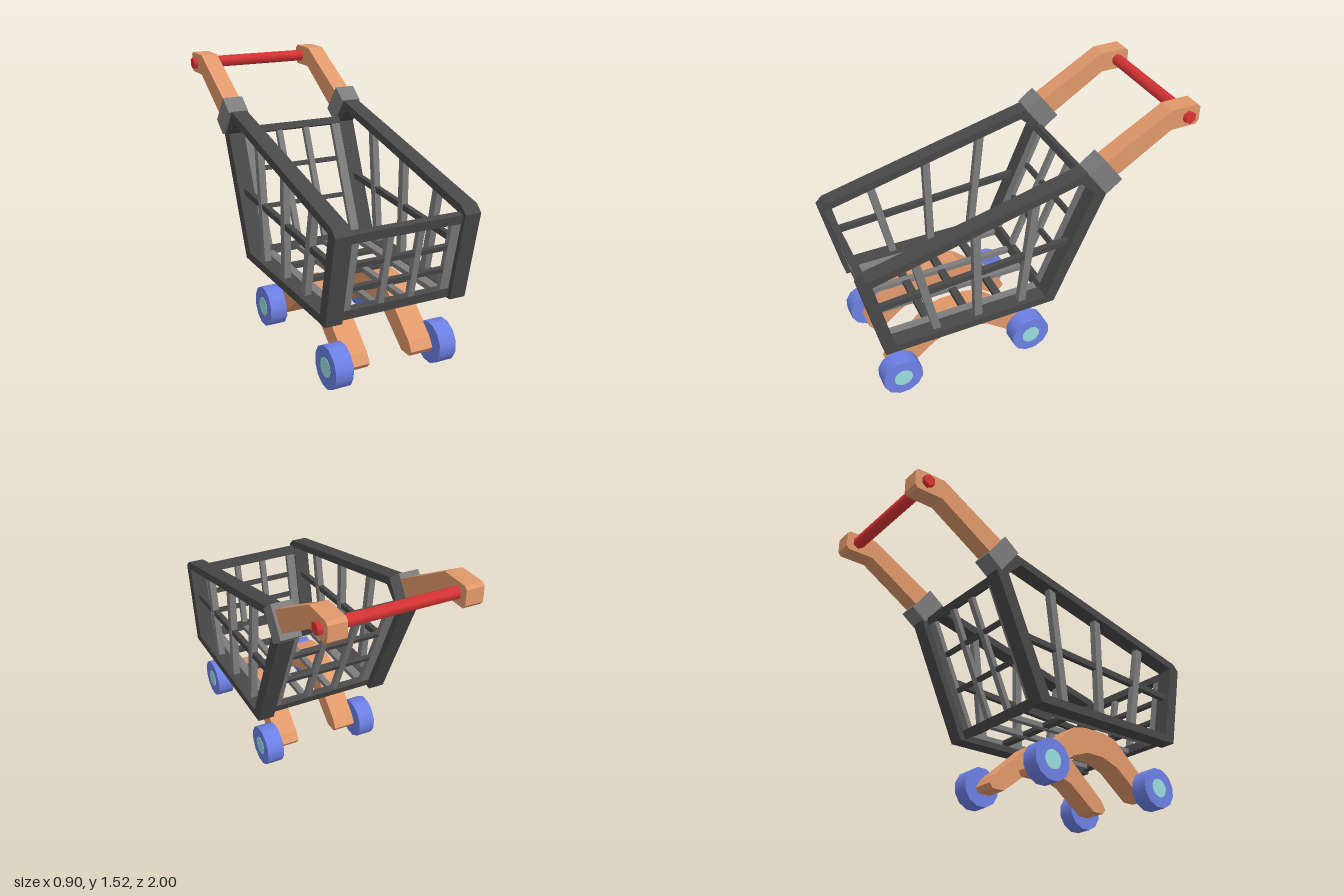
import * as THREE from 'three';

const mat = (color) => new THREE.MeshStandardMaterial({ color });
const flat = (color) => {
  const m = mat(color);
  m.flatShading = true;
  return m;
};

export function createModel() {
  const root = new THREE.Group();
  const dark = flat(0x484848), grey = flat(0x7c7c7c), wood = flat(0xe0986a);
  const red = mat(0xd83434), blue = mat(0x6c80e4), teal = mat(0x98dcdc);

  const add = (name, geometry, material, x = 0, y = 0, z = 0) => {
    const mesh = new THREE.Mesh(geometry, material);
    mesh.name = name;
    mesh.position.set(x, y, z);
    root.add(mesh);
    return mesh;
  };

  // Side profile given as [z, y] points, extruded from x0 to x1; the hole runs the opposite way round
  const profile = (name, points, x0, x1, material, hole) => {
    const toV = ([z, y]) => new THREE.Vector2(-z, y);
    const shape = new THREE.Shape(points.map(toV));
    if (hole) shape.holes.push(new THREE.Path(hole.map(toV).reverse()));
    const geo = new THREE.ExtrudeGeometry(shape, { depth: x1 - x0, bevelEnabled: false });
    geo.rotateY(Math.PI / 2);
    return add(name, geo, material, x0);
  };

  // Box running between two [z, y] points: width across x, given thickness
  const bar = (name, a, b, x, width, thick, material) => {
    const dz = b[0] - a[0], dy = b[1] - a[1];
    const mesh = add(name, new THREE.BoxGeometry(width, thick, Math.hypot(dz, dy)), material,
      x, (a[1] + b[1]) / 2, (a[0] + b[0]) / 2);
    mesh.rotation.x = -Math.atan2(dy, dz);
    return mesh;
  };

  // Basket centre lines: front wall, floor, back wall
  const frontLow = [0.86, 0.43], frontTop = [0.957, 0.9];
  const backLow = [-0.095, 0.43], backTop = [-0.395, 1.13];
  const along = (a, b, t) => [a[0] + (b[0] - a[0]) * t, a[1] + (b[1] - a[1]) * t];

  // Cross rail lying in a wall, centred at fraction t, with height h along the wall
  const crossRail = (name, a, b, t, h, width, thick) => {
    const len = Math.hypot(b[0] - a[0], b[1] - a[1]);
    bar(name, along(a, b, t - h / 2 / len), along(a, b, t + h / 2 / len), 0, width, thick, dark);
  };

  const outer = [[0.9, 0.402], [1, 0.91], [0.96, 0.95], [-0.32, 1.26], [-0.45, 1.11], [-0.14, 0.402]];
  const inner = [[0.84, 0.45], [0.93, 0.91], [-0.28, 1.2], [-0.37, 1.115], [-0.085, 0.45]];
  const handle = [[-0.38, 1.275], [-0.44, 1.31], [-0.815, 1.525], [-0.982, 1.525], [-1, 1.508],
    [-1, 1.422], [-0.982, 1.402], [-0.825, 1.402], [-0.52, 1.21], [-0.42, 1.15]];
  // Half of the leg arch, mirrored about z = 0.39
  const halfTop = [[0.46, 0.41], [0.55, 0.392], [0.815, 0.16], [0.848, 0.105], [0.825, 0.075],
    [0.745, 0.075], [0.56, 0.22], [0.45, 0.26]];
  const arch = [...halfTop, ...halfTop.map(([z, y]) => [0.78 - z, y]).reverse()];

  for (const s of [1, -1]) {
    const span = (a, b) => (s > 0 ? [a, b] : [-b, -a]);

    // Side frame with its slats and middle rail
    profile('sideFrame', outer, ...span(0.326, 0.422), dark, inner);
    bar('sideSlat', [0.685, 0.98], [0.58, 0.43], s * 0.374, 0.04, 0.045, grey);
    bar('sideSlat', [0.33, 1.07], [0.33, 0.43], s * 0.374, 0.04, 0.045, grey);
    bar('sideSlat', [-0.028, 1.16], [0.058, 0.43], s * 0.374, 0.04, 0.045, grey);
    bar('sideMiddleRail', [0.9, 0.717], [-0.25, 0.79], s * 0.374, 0.032, 0.036, dark);

    // Grey bars that run down the front, along the floor and up the back
    for (const [x, w] of [[0.09, 0.036], [0.3, 0.06]]) {
      bar('frontBar', frontLow, frontTop, s * x, w, 0.03, grey);
      bar('floorBar', frontLow, backLow, s * x, w, 0.03, grey);
      bar('backBar', backLow, backTop, s * x, w, 0.03, grey);
    }

    // Handle arm and the collar that joins it to the frame
    profile('handleArm', handle, ...span(0.32, 0.424), wood);
    const collar = add('handleCollar', new THREE.BoxGeometry(0.122, 0.194, 0.118), grey, s * 0.379, 1.215, -0.42);
    collar.rotation.x = THREE.MathUtils.degToRad(37);

    // Arched leg with two wheels, each with a hub on its outer face
    profile('legArch', arch, ...span(0.13, 0.268), wood);
    for (const z of [0.8, -0.024]) {
      const tyre = new THREE.CylinderGeometry(0.1215, 0.1215, 0.104, 12);
      tyre.rotateY(Math.PI / 12).rotateZ(Math.PI / 2);
      add('wheel', tyre, blue, s * 0.317, 0.1175, z);
      const hub = new THREE.CylinderGeometry(0.056, 0.056, 0.02, 20);
      hub.rotateZ(Math.PI / 2);
      add('wheelHub', hub, teal, s * 0.361, 0.1175, z);
    }
  }

  // Main cross rails at the basket corners
  crossRail('frontTopRail', frontLow, frontTop, 0.965, 0.052, 0.66, 0.04);
  crossRail('frontBottomRail', frontLow, frontTop, 0.02, 0.055, 0.66, 0.04);
  crossRail('backTopRail', backLow, backTop, 0.985, 0.042, 0.66, 0.045);
  crossRail('backBottomRail', backLow, backTop, 0.02, 0.055, 0.66, 0.04);

  // Thin cross rails of the walls and the floor, ending inside the outer grey bars
  for (const t of [0.33, 0.62]) crossRail('frontThinRail', frontLow, frontTop, t, 0.028, 0.6, 0.026);
  for (const t of [0.365, 0.67]) crossRail('backThinRail', backLow, backTop, t, 0.028, 0.6, 0.026);
  for (const z of [0.155, 0.375, 0.603]) {
    add('floorThinRail', new THREE.BoxGeometry(0.6, 0.026, 0.046), dark, 0, 0.43, z);
  }

  // Push bar
  const grip = new THREE.CylinderGeometry(0.036, 0.036, 0.9, 6);
  grip.rotateZ(Math.PI / 2).rotateX(Math.PI / 2);
  add('pushBar', grip, red, 0, 1.463, -0.925);

  return root;
}
